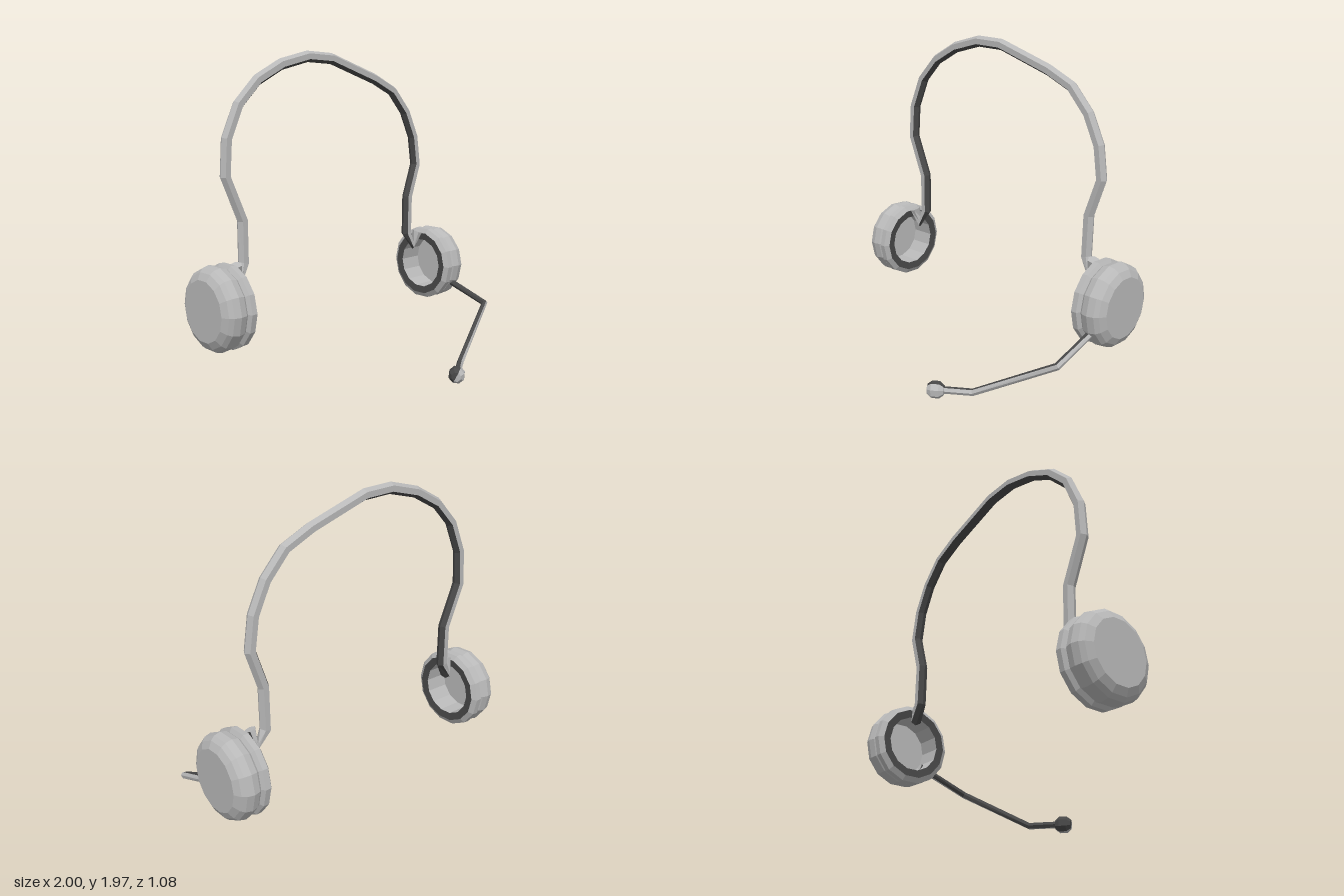
import * as THREE from 'three';

const V = (x, y, z) => new THREE.Vector3(x, y, z);

// Faceted rod with capped ends, swept through the corner points.
// Strips listed in darkStrips use the second material.
function rod(points, radius, sides, ref, darkStrips) {
  const pos = [], light = [], dark = [], n = points.length;
  points.forEach((p, i) => {
    const t = V(0, 0, 0);
    if (i > 0) t.add(p.clone().sub(points[i - 1]).normalize());
    if (i < n - 1) t.add(points[i + 1].clone().sub(p).normalize());
    t.normalize();
    const a = ref.clone().addScaledVector(t, -ref.dot(t)).normalize();
    const b = t.clone().cross(a);
    for (let j = 0; j < sides; j++) {
      const w = ((j + 0.5) / sides) * Math.PI * 2;
      const q = p.clone().addScaledVector(a, Math.cos(w) * radius).addScaledVector(b, Math.sin(w) * radius);
      pos.push(q.x, q.y, q.z);
    }
  });
  for (let i = 0; i < n - 1; i++) {
    for (let j = 0; j < sides; j++) {
      const k = (j + 1) % sides, A = i * sides, B = A + sides;
      const list = darkStrips.includes(j) ? dark : light;
      list.push(A + j, A + k, B + j, A + k, B + k, B + j);
    }
  }
  const last = (n - 1) * sides;
  for (let j = 1; j < sides - 1; j++) {
    light.push(0, j + 1, j, last, last + j, last + j + 1);
  }
  const g = new THREE.BufferGeometry();
  g.setAttribute('position', new THREE.Float32BufferAttribute(pos, 3));
  g.setIndex([...light, ...dark]);
  g.addGroup(0, light.length, 0);
  g.addGroup(light.length, dark.length, 1);
  g.computeVertexNormals();
  return g;
}

const lathe = (profile, sides, start = 0, length = Math.PI * 2) =>
  new THREE.LatheGeometry(profile.map(([r, y]) => new THREE.Vector2(r, y)), sides, start, length);

export function createModel() {
  const group = new THREE.Group();
  const material = (name, color) => {
    const m = new THREE.MeshStandardMaterial({ color, flatShading: true, side: THREE.DoubleSide });
    m.name = name;
    return m;
  };
  const grey = material('light grey plastic', 0xb8b8b8);
  const dark = material('dark grey lining', 0x484848);
  const add = (parent, name, geometry, mat) => {
    const mesh = new THREE.Mesh(geometry, mat);
    mesh.name = name;
    parent.add(mesh);
    return mesh;
  };

  // Ear cups: grooved rounded shell, dark cushion ring and deep hollow
  const shell = lathe([
    [0.218, 0.79], [0.248, 0.81], [0.25, 0.845], [0.227, 0.86], [0.24, 0.875],
    [0.25, 0.915], [0.24, 0.955], [0.22, 0.978], [0.18, 1.0], [0, 1.0],
  ], 14).rotateZ(-Math.PI / 2);
  const ring = lathe([[0.17, 0.795], [0.218, 0.79]], 14).rotateZ(-Math.PI / 2);
  const hollow = lathe([[0, 0.955], [0.17, 0.955], [0.17, 0.795]], 14).rotateZ(-Math.PI / 2);
  for (const side of [1, -1]) {
    const cup = new THREE.Group();
    cup.name = side > 0 ? 'leftEarCup' : 'rightEarCup';
    add(cup, 'cupShell', shell, grey);
    add(cup, 'cushionRing', ring, dark);
    add(cup, 'cupHollow', hollow, grey);
    cup.position.set(0, 0.536, -0.292);
    if (side < 0) {
      cup.rotation.y = Math.PI;
    }
    group.add(cup);
  }

  // Headband with a dark inner side and a sharp hook at each end
  const arc = [
    [-0.69, 0.76], [-0.69, 1.01], [-0.8, 1.27], [-0.785, 1.48], [-0.7, 1.67], [-0.565, 1.805],
    [-0.39, 1.895], [-0.19, 1.943], [0, 1.933], [0.37, 1.81], [0.54, 1.73], [0.665, 1.59],
    [0.745, 1.42], [0.772, 1.23], [0.695, 1.01], [0.69, 0.76],
  ].map(([x, y]) => V(x, y, -0.33));
  const hook = s => [V(s * 0.765, 0.765, -0.295), V(s * 0.74, 0.67, -0.32)];
  const band = [...hook(-1), ...arc, ...hook(1).reverse()];
  add(group, 'headband', rod(band, 0.034, 6, V(0, 0, 1), [0, 1]), [grey, dark]);

  // Microphone boom, rooted inside the left ear cup, dark on top and inside
  const boom = [V(0.905, 0.435, -0.17), V(0.91, 0.315, 0.19), V(0.45, 0.055, 0.365), V(0.28, 0.052, 0.48)];
  add(group, 'microphoneBoom', rod(boom, 0.021, 6, V(0, 1, 0), [5, 0, 1]), [grey, dark]);

  // Microphone tip in a light and a dark half
  const tip = new THREE.Group();
  tip.name = 'microphone';
  const barrel = [[0, -0.05], [0.03, -0.048], [0.05, -0.022], [0.05, 0.022], [0.03, 0.048], [0, 0.05]];
  add(tip, 'microphoneFront', lathe(barrel, 4, 1.73 + Math.PI, Math.PI), grey);
  add(tip, 'microphoneBack', lathe(barrel, 4, 1.73, Math.PI), dark);
  tip.position.set(0.27, 0.05, 0.485);
  tip.quaternion.setFromUnitVectors(V(0, 1, 0), V(-0.17, 0, 0.12).normalize());
  group.add(tip);

  return group;
}
